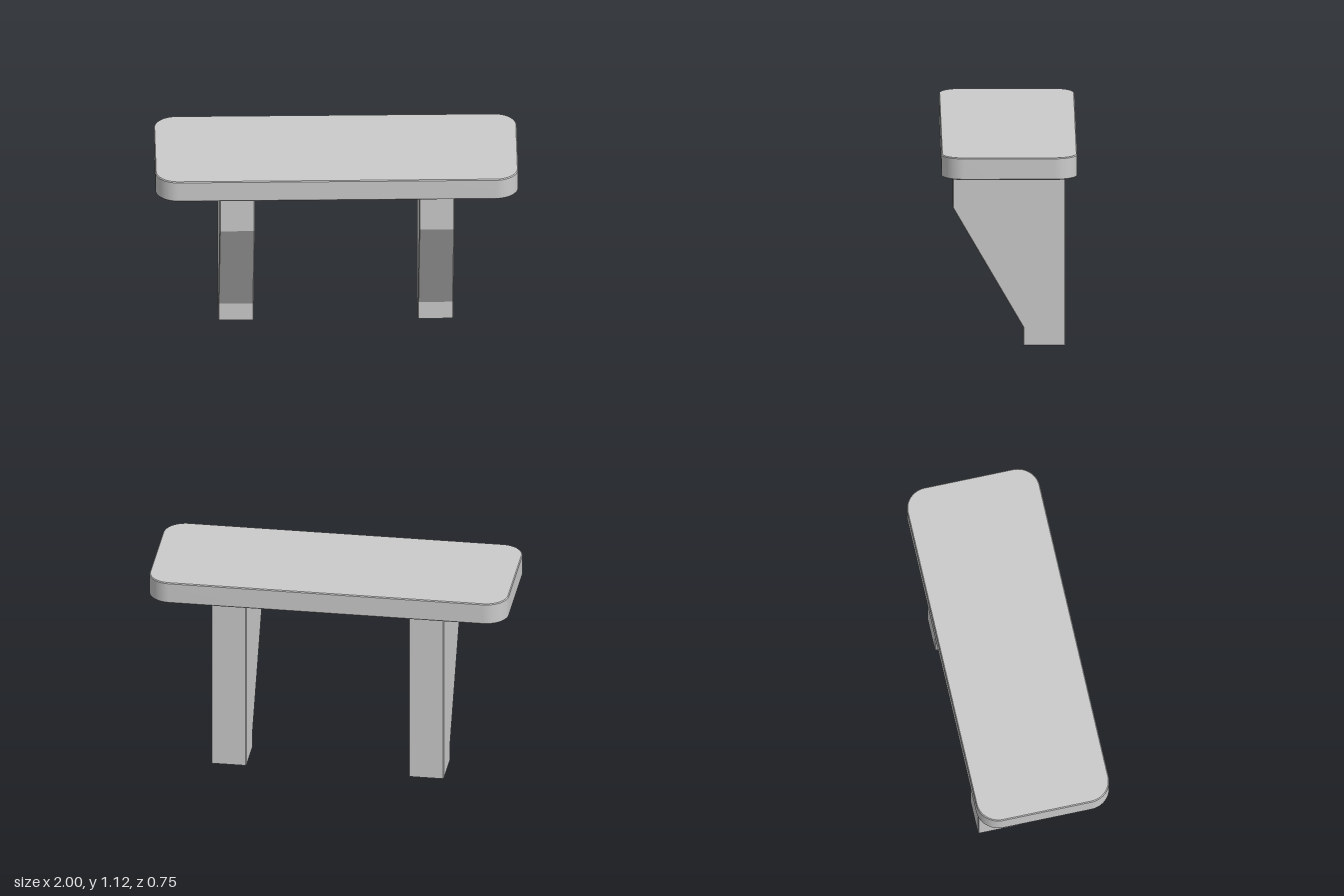
import * as THREE from 'three';
import { toCreasedNormals } from 'three/addons/utils/BufferGeometryUtils.js';

const EDGE = 0.005; // fine chamfer on the edges

// Extrude a shape to a total thickness, chamfered inside its outline, centred in z
function chamferedSlab(shape, thickness) {
  const geometry = new THREE.ExtrudeGeometry(shape, {
    depth: thickness - 2 * EDGE,
    bevelEnabled: true,
    bevelThickness: EDGE,
    bevelSize: EDGE,
    bevelOffset: -EDGE,
    bevelSegments: 1,
    curveSegments: 16,
  });
  geometry.translate(0, 0, EDGE - thickness / 2);
  return geometry;
}

function roundedRectangle(halfX, halfY, r) {
  const s = new THREE.Shape();
  s.absarc(halfX - r, halfY - r, r, 0, Math.PI / 2);
  s.absarc(-halfX + r, halfY - r, r, Math.PI / 2, Math.PI);
  s.absarc(-halfX + r, -halfY + r, r, Math.PI, Math.PI * 1.5);
  s.absarc(halfX - r, -halfY + r, r, Math.PI * 1.5, Math.PI * 2);
  return s;
}

export function createModel() {
  const group = new THREE.Group();
  group.name = 'bench';
  const material = new THREE.MeshStandardMaterial({ color: 0xcccccc });

  // Seat: flat board with rounded corners
  const seatHeight = 1, seatThickness = 0.124;
  const seatGeometry = chamferedSlab(roundedRectangle(1, 0.374, 0.125), seatThickness);
  seatGeometry.rotateX(-Math.PI / 2);
  const seat = new THREE.Mesh(toCreasedNormals(seatGeometry, 0.5), material);
  seat.name = 'seat';
  seat.position.y = seatHeight + seatThickness / 2;
  group.add(seat);

  // Legs: side profile (z, y) with a sloping front; the top runs slightly into the seat
  const profile = new THREE.Shape([
    [-0.312, 0], [-0.077, 0], [-0.077, 0.104], [0.312, 0.777],
    [0.312, seatHeight + 0.02], [-0.312, seatHeight + 0.02],
  ].map(([z, y]) => new THREE.Vector2(z, y)));
  const legGeometry = chamferedSlab(profile, 0.196);
  legGeometry.rotateY(-Math.PI / 2);
  const flatLeg = toCreasedNormals(legGeometry, 0.3);

  for (const [side, sign] of [['left', 1], ['right', -1]]) {
    const leg = new THREE.Mesh(flatLeg, material);
    leg.name = side + 'Leg';
    leg.position.x = sign * 0.55;
    group.add(leg);
  }

  return group;
}
